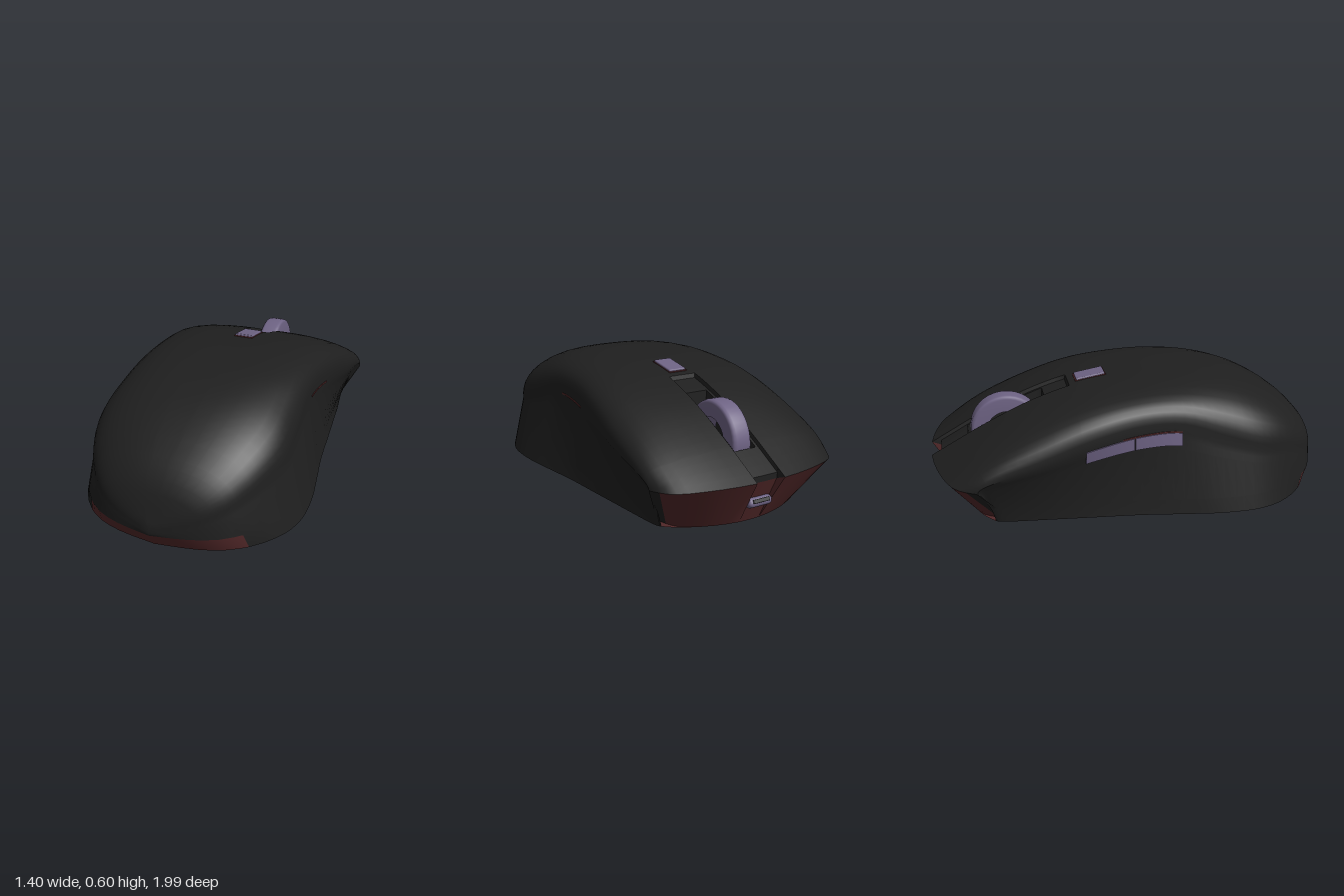
import * as THREE from 'three';
import { toCreasedNormals } from 'three/addons/utils/BufferGeometryUtils.js';
import { RoundedBoxGeometry } from 'three/addons/geometries/RoundedBoxGeometry.js';

const mat = (name, color) => new THREE.MeshStandardMaterial({ name, color, side: THREE.DoubleSide });

// Body stations from nose (-1) to heel:
// half width at the base, half width at the crease, crease height, top height, squareness of the top
const STATIONS = [
  [-1, 0.36, 0.485, 0.215, 0.235, 2.2], [-0.9, 0.37, 0.487, 0.235, 0.29, 2.4], [-0.75, 0.39, 0.492, 0.265, 0.37, 2.7],
  [-0.5, 0.42, 0.492, 0.315, 0.485, 3.1], [-0.25, 0.45, 0.475, 0.375, 0.56, 3.6], [0, 0.48, 0.452, 0.412, 0.592, 3.8],
  [0.2, 0.515, 0.452, 0.41, 0.6, 3.4], [0.4, 0.545, 0.468, 0.34, 0.59, 2.9], [0.6, 0.54, 0.47, 0.28, 0.54, 2.6],
  [0.75, 0.48, 0.42, 0.25, 0.468, 2.5], [0.88, 0.385, 0.335, 0.2, 0.375, 2.4], [0.96, 0.27, 0.235, 0.16, 0.28, 2.3],
  [1.0, 0.15, 0.12, 0.125, 0.18, 2.2], [1.025, 0, 0, 0.1, 0.11, 2.2],
];
const curve = new THREE.CubicInterpolant(STATIONS.map((r) => r[0]), STATIONS.flatMap((r) => r.slice(1)), 5);
const section = (s) => {
  const [b, c, yc, t, n] = curve.evaluate(s);
  return { b: Math.max(b, 0), c: Math.max(c, 0), yc, t, n };
};
const SLOT_END = -0.3;
const WELL = [-0.81, -0.42];

// Bows the nose in plan with round corners, slants it back underneath and tucks in the heel
function place(s, u, y, ratio, yc) {
  const f = Math.min(Math.max((-0.6 - s) / 0.4, 0), 1) ** 2;
  const g = Math.max((s - 0.7) / 0.32, 0);
  const bow = 0.12 * ratio ** 2 + 0.09 * ratio ** 16;
  const z = s + f * (bow + 0.14 * (1 - Math.min(y / yc, 1))) - 0.05 * g * (1 - Math.min(y / 0.08, 1));
  return new THREE.Vector3(u, y, z);
}

// Flank point at height fraction k (0 base, 1 crease), slightly hollow towards the front
function flank(s, k, side) {
  const { b, c, yc } = section(s);
  const hollow = 0.02 * Math.min(Math.max((0.3 - s) / 0.5, 0), 1) * Math.min((s + 1) / 0.3, 1);
  const u = side * Math.max(b + (c - b) * k - hollow * Math.sin(Math.PI * k), 0);
  return place(s, u, yc * k, 1, yc);
}

// Top point at width ratio r; the centre strip is sunk, deeper in the wheel well
function crown(s, r) {
  const { c, yc, t, n } = section(s);
  const a = Math.abs(r);
  const p = place(s, r * c, yc + (t - yc) * (1 - a ** n) ** (1 / n), r, yc);
  if (s <= SLOT_END && a < 0.15) {
    p.y -= a < 0.118 && s > WELL[0] && s < WELL[1] ? 0.16 : 0.02;
    if (s < -0.95) p.z += 0.05;
  }
  return p;
}

// Surface over rows of points; keep(i, j) selects the quads
function grid(rows, keep = () => true) {
  const n = rows[0].length;
  const index = [];
  for (let i = 0; i < rows.length - 1; i++) {
    for (let j = 0; j < n - 1; j++) {
      if (!keep(i, j)) continue;
      const a = i * n + j;
      index.push(a, a + 1, a + n + 1, a, a + n + 1, a + n);
    }
  }
  const g = new THREE.BufferGeometry().setFromPoints(rows.flat());
  g.setIndex(index);
  return toCreasedNormals(g, 0.6);
}

// Raised ribbon along one flank between heights measured from the crease
function flankStrip(s0, s1, lo, hi, side, lift) {
  const rows = [];
  for (let i = 0; i <= 8; i++) {
    const s = s0 + ((s1 - s0) * i) / 8;
    const { yc } = section(s);
    const low = flank(s, 1 + lo / yc, side);
    const high = flank(s, 1, side);
    high.y += hi;
    const out = new THREE.Vector3(side * lift, 0, 0);
    const inn = new THREE.Vector3(-side * 0.03, 0, 0);
    const loop = [low.clone().add(inn), low.clone().add(out), high.clone().add(out), high.clone().add(inn)];
    if (side < 0) loop.reverse();
    rows.push([...loop, loop[0]]);
  }
  // close both ends
  const shut = (row) => row.map(() => row[0].clone().lerp(row[2], 0.5));
  return grid([shut(rows[0]), ...rows, shut(rows[8])]);
}

export function createModel() {
  const black = mat('matte black', 0x1f1f1f);
  const red = mat('dark red', 0x522829);
  const lilac = mat('dusty lilac', 0x6e6384);

  const model = new THREE.Group();
  model.name = 'computerMouse';
  const body = new THREE.Group();
  body.name = 'body';
  body.rotation.y = 0.305;
  model.add(body);
  const add = (name, geometry, material, x = 0, y = 0, z = 0) => {
    const m = new THREE.Mesh(geometry, material);
    m.name = name;
    m.position.set(x, y, z);
    body.add(m);
    return m;
  };

  // Sampling of the shell
  const half = [1, 0.997, 0.985, 0.96, 0.92, 0.86, 0.77, 0.64, 0.48, 0.32, 0.155, 0.147, 0.12, 0.116];
  const across = [...half, 0, ...half.map((r) => -r).reverse()];
  const stops = [];
  for (let s = -1; s < 0.79; s += 0.05) stops.push(+s.toFixed(3));
  stops.push(SLOT_END + 0.006, WELL[0], WELL[0] + 0.004, WELL[1] - 0.004, WELL[1]);
  stops.push(0.8, 0.87, 0.9, 0.94, 0.97, 0.99, 1.005, 1.015, 1.025);
  stops.sort((a, b) => a - b);

  const rise = (s) => [0, Math.min(0.075 / section(s).yc, 0.78), 0.8, 0.9];
  const shellRows = stops.map((s) => [
    ...rise(s).map((k) => flank(s, k, 1)),
    ...across.map((r) => crown(s, r)),
    ...rise(s).reverse().map((k) => flank(s, k, -1)),
  ]);
  const last = shellRows[0].length - 2;
  const isHeel = (i, j) => stops[i] >= 0.87 && (j === 0 || j === last);
  add('shell', grid(shellRows, (i, j) => !isHeel(i, j)), black);
  add('heelPanel', grid(shellRows, isHeel), red);

  // Flat underside, slanted nose and its black rounded corners
  const ratios = [...across].reverse();
  const baseRow = (s) => {
    const { b, yc } = section(s);
    return ratios.map((r) => place(s, r * b, 0, r, yc));
  };
  const noseRows = [ratios.map((r) => crown(-1, r)), baseRow(-1)];
  const isCorner = (i, j) => Math.min(Math.abs(ratios[j]), Math.abs(ratios[j + 1])) > 0.94;
  add('underside', grid(stops.map(baseRow)), red);
  add('nose', grid(noseRows, (i, j) => !isCorner(i, j)), red);
  add('noseCorners', grid(noseRows, isCorner), black);

  // Cable port in the nose
  const port = add('port', new RoundedBoxGeometry(0.13, 0.045, 0.05, 3, 0.02), lilac, 0, 0.11, -0.915);
  port.rotation.x = 0.5;
  const socket = add('portSocket', new RoundedBoxGeometry(0.09, 0.018, 0.008, 2, 0.003), black, 0, 0.122, -0.937);
  socket.rotation.x = 0.5;

  // Scroll wheel with rounded rims
  const rim = [[0.1, -0.05], [0.165, -0.05], [0.176, -0.043], [0.18, -0.03], [0.18, 0.03], [0.176, 0.043], [0.165, 0.05], [0.1, 0.05]];
  const wheelShape = new THREE.LatheGeometry(rim.map(([x, y]) => new THREE.Vector2(x, y)), 40);
  const wheel = add('scrollWheel', wheelShape, lilac, 0, 0.325, -0.615);
  wheel.rotation.z = Math.PI / 2;

  // Small button behind the wheel, on a red seat
  const seat = add('topButtonSeat', new THREE.BoxGeometry(0.1, 0.02, 0.16), red, 0, 0.565, -0.18);
  const cap = add('topButton', new RoundedBoxGeometry(0.095, 0.02, 0.15, 2, 0.006), lilac, 0, 0.574, -0.18);
  seat.rotation.x = cap.rotation.x = -0.16;

  // Thumb buttons on one flank, a thin seam on the other
  add('frontThumbButton', flankStrip(-0.28, -0.045, -0.06, 0.004, -1, 0.007), lilac);
  add('rearThumbButton', flankStrip(-0.04, 0.19, -0.06, 0.004, -1, 0.007), lilac);
  add('thumbSeam', flankStrip(-0.1, 0.19, 0, 0.011, -1, 0.003), red);
  add('sideSeam', flankStrip(-0.1, 0.13, 0, 0.008, 1, 0.003), red);

  return model;
}
